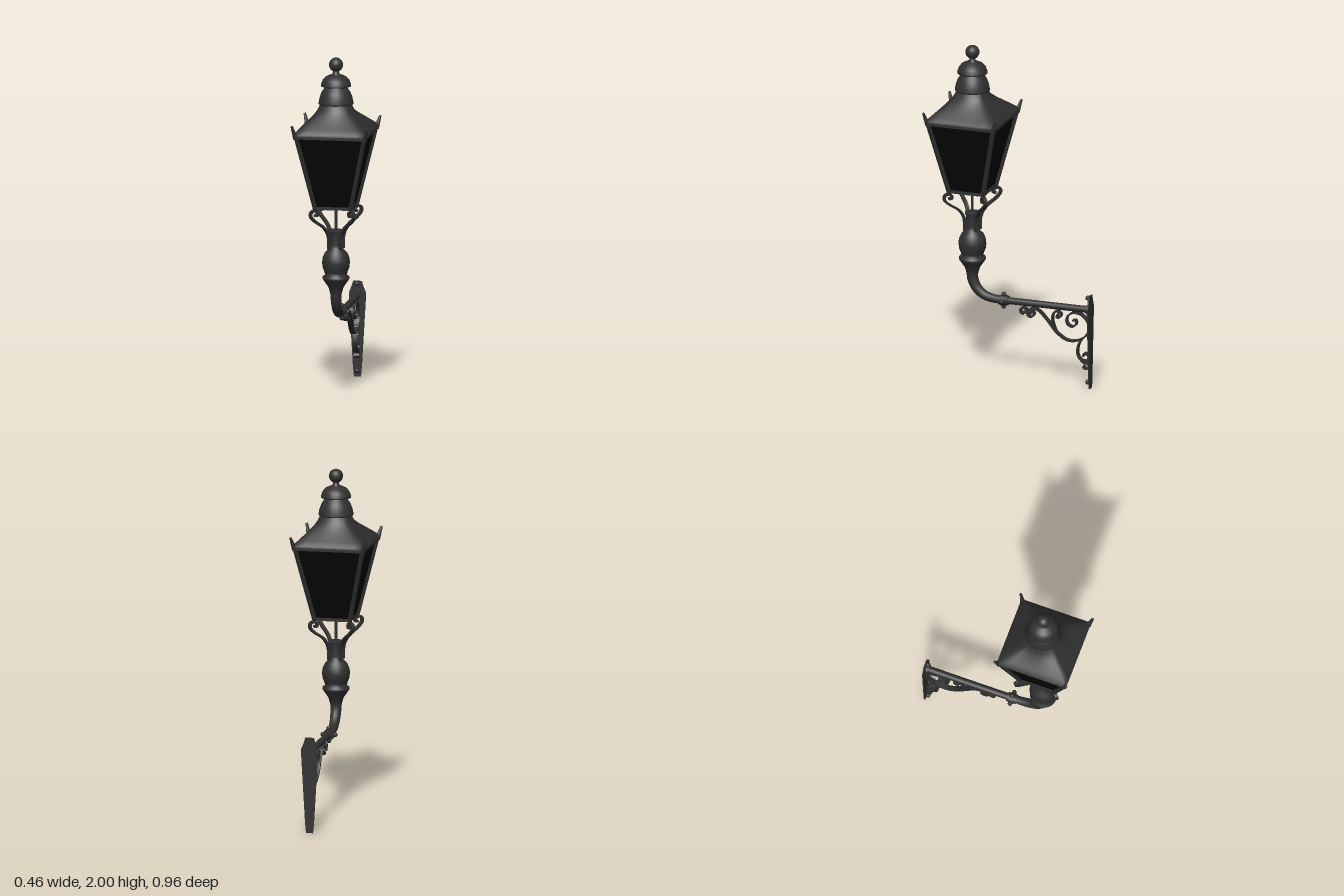
import * as THREE from 'three';

const iron = new THREE.MeshStandardMaterial({ color: 0x303030 });
iron.name = 'dark iron';
const glass = new THREE.MeshStandardMaterial({ color: 0x040404 });
glass.name = 'black glass';
const V = (x, y, z) => new THREE.Vector3(x, y, z);

export function createModel() {
  const root = new THREE.Group();
  root.name = 'wallLantern';
  const lantern = new THREE.Group();
  lantern.name = 'lantern';
  lantern.position.z = 0.248;
  const bracket = new THREE.Group();
  bracket.name = 'wallBracket';
  root.add(lantern, bracket);

  const add = (parent, name, geo, mat = iron) => {
    const m = new THREE.Mesh(geo, mat);
    m.name = name;
    parent.add(m);
    return m;
  };
  const lathe = (parent, name, pts, seg = 24) =>
    add(parent, name, new THREE.LatheGeometry(pts.map(p => new THREE.Vector2(...p)), seg));

  // Flat iron strip following a planar curve, extruded across its width
  const strip = (pts, thick, width, steps) => {
    const curve = new THREE.CatmullRomCurve3(pts.map(([x, y]) => V(x, y, 0)), false, 'centripetal');
    const a = [], b = [];
    for (let i = 0; i <= steps; i++) {
      const p = curve.getPoint(i / steps), t = curve.getTangent(i / steps);
      const nx = -t.y * thick / 2, ny = t.x * thick / 2;
      a.push(new THREE.Vector2(p.x + nx, p.y + ny));
      b.unshift(new THREE.Vector2(p.x - nx, p.y - ny));
    }
    const g = new THREE.ExtrudeGeometry(new THREE.Shape([...a, ...b]), { depth: width, bevelEnabled: false });
    return g.translate(0, 0, -width / 2);
  };

  // Tapered glass body
  const panes = new THREE.CylinderGeometry(0.196 * Math.SQRT2, 0.102 * Math.SQRT2, 0.43, 4, 1)
    .rotateY(Math.PI / 4).toNonIndexed();
  panes.computeVertexNormals();
  add(lantern, 'glassPanes', panes, glass).position.y = 1.35;

  // Frame, ears and scroll supports, one set per corner
  const supportPath = [[0.048, 0.88], [0.054, 0.96], [0.085, 1.01], [0.15, 1.055], [0.178, 1.085],
    [0.176, 1.108], [0.156, 1.117], [0.134, 1.107], [0.133, 1.09], [0.15, 1.088]];
  for (let i = 0; i < 4; i++) {
    const side = new THREE.Group();
    side.name = 'lanternCorner' + (i + 1);
    side.rotation.y = i * Math.PI / 2;
    lantern.add(side);
    // corner post leaning out along the diagonal
    const lo = V(0.103, 1.125, 0.103), hi = V(0.202, 1.575, 0.202);
    const post = add(side, 'cornerPost',
      new THREE.CylinderGeometry(0.016, 0.016, lo.distanceTo(hi), 4).rotateY(Math.PI / 4));
    post.position.copy(lo).add(hi).multiplyScalar(0.5);
    post.quaternion.setFromUnitVectors(V(0, 1, 0), hi.clone().sub(lo).normalize());
    // rails and floor bar
    add(side, 'bottomRail', new THREE.BoxGeometry(0.216, 0.018, 0.014)).position.set(0, 1.132, 0.101);
    add(side, 'topRail', new THREE.BoxGeometry(0.408, 0.024, 0.016)).position.set(0, 1.563, 0.2);
    const floorBar = add(side, 'floorBar', new THREE.BoxGeometry(0.14, 0.012, 0.014));
    floorBar.position.set(0.05, 1.13, 0.05);
    floorBar.rotation.y = -Math.PI / 4;
    // pointed ear
    const ear = add(side, 'cornerEar', new THREE.CylinderGeometry(0.007, 0.016, 0.08, 8));
    ear.position.set(0.211, 1.592, 0.211);
    ear.quaternion.setFromUnitVectors(V(0, 1, 0), V(0.28, 1, 0.28).normalize());
    const support = add(side, 'scrollSupport', strip(supportPath, 0.014, 0.02, 48));
    support.rotation.y = -Math.PI / 4;
  }

  // Concave roof, square at the eaves and round at the neck
  const rings = [[1.568, 0.214, 0], [1.58, 0.212, 0], [1.605, 0.186, 0.04], [1.635, 0.156, 0.18],
    [1.665, 0.128, 0.45], [1.695, 0.106, 0.8], [1.735, 0.088, 1]];
  const N = 40, pos = [], idx = [];
  rings.forEach(([y, r, round], k) => {
    for (let j = 0; j < N; j++) {
      const a = j / N * Math.PI * 2, s = Math.sin(a), c = Math.cos(a);
      const f = r * (round + (1 - round) / Math.max(Math.abs(s), Math.abs(c)));
      pos.push(s * f, y, c * f);
      if (k) {
        const n = (j + 1) % N, p = (k - 1) * N, q = k * N;
        idx.push(p + j, p + n, q + n, p + j, q + n, q + j);
      }
    }
  });
  const roof = new THREE.BufferGeometry();
  roof.setAttribute('position', new THREE.Float32BufferAttribute(pos, 3));
  roof.setIndex(idx);
  roof.computeVertexNormals();
  add(lantern, 'roof', roof);
  add(lantern, 'eavesPlate', new THREE.BoxGeometry(0.424, 0.006, 0.424)).position.y = 1.568;

  // Vent caps and ball finial
  lathe(lantern, 'lowerVentCap', [[0, 1.73], [0.101, 1.73], [0.101, 1.738], [0.096, 1.765], [0.085, 1.795],
    [0.069, 1.82], [0.058, 1.828], [0.054, 1.845]]);
  lathe(lantern, 'upperVentCap', [[0, 1.834], [0.088, 1.834], [0.087, 1.843], [0.078, 1.868], [0.062, 1.887],
    [0.035, 1.9], [0.02, 1.905], [0.016, 1.93]]);
  add(lantern, 'ballFinial', new THREE.SphereGeometry(0.041, 20, 14)).position.y = 1.959;

  // Turned stem under the lantern
  add(lantern, 'centreRod', new THREE.CylinderGeometry(0.008, 0.008, 0.16, 10)).position.y = 1.06;
  lathe(lantern, 'turnedStem', [[0.03, 0.59], [0.034, 0.62], [0.044, 0.655], [0.068, 0.69], [0.079, 0.706],
    [0.078, 0.716], [0.063, 0.728], [0.067, 0.745], [0.077, 0.77], [0.081, 0.8], [0.077, 0.83], [0.064, 0.858],
    [0.045, 0.876], [0.043, 0.89], [0.036, 0.9], [0.037, 0.97], [0.043, 0.978], [0.043, 0.99], [0, 0.99]]);

  // Tapering elbow
  const path = new THREE.CatmullRomCurve3([V(0, 0.63, 0.248), V(0, 0.585, 0.245), V(0, 0.535, 0.222),
    V(0, 0.496, 0.178), V(0, 0.479, 0.12), V(0, 0.475, 0.05)]);
  const elbow = new THREE.TubeGeometry(path, 28, 1, 16);
  const ep = elbow.attributes.position;
  for (let i = 0; i < ep.count; i++) {
    const t = Math.floor(i / 17) / 28, c = path.getPointAt(t);
    const p = V().fromBufferAttribute(ep, i).sub(c).multiplyScalar(0.034 - 0.012 * t).add(c);
    ep.setXYZ(i, p.x, p.y, p.z);
  }
  add(bracket, 'elbow', elbow);

  // Horizontal arm and bolted collar
  const rod = (name, r, len, z) => {
    const m = add(bracket, name, new THREE.CylinderGeometry(r, r, len, 20).rotateX(Math.PI / 2));
    m.position.set(0, 0.475, z);
  };
  rod('arm', 0.02, 0.53, -0.21);
  rod('collar', 0.028, 0.058, 0.055);
  rod('collarFlange', 0.034, 0.026, 0.055);
  rod('wallSocket', 0.027, 0.02, -0.464);
  for (let i = 0; i < 4; i++) {
    const a = i * Math.PI / 2;
    const bolt = add(bracket, 'collarBolt', new THREE.SphereGeometry(0.014, 10, 8));
    bolt.position.set(Math.sin(a) * 0.037, 0.475 + Math.cos(a) * 0.037, 0.055);
  }

  // Tapered wall plate with bolts
  const plate = new THREE.Shape([[-0.02, 0], [0.02, 0], [0.026, 0.06], [0.048, 0.44], [0.05, 0.49],
    [0.034, 0.53], [0.025, 0.56], [-0.025, 0.56], [-0.034, 0.53], [-0.05, 0.49], [-0.048, 0.44],
    [-0.026, 0.06]].map(p => new THREE.Vector2(...p)));
  add(bracket, 'wallPlate', new THREE.ExtrudeGeometry(plate, { depth: 0.008, bevelEnabled: false }))
    .position.z = -0.48;
  for (const y of [0.035, 0.545]) {
    const bolt = add(bracket, 'wallBolt', new THREE.SphereGeometry(0.015, 12, 8));
    bolt.position.set(0, y, -0.462);
  }

  // Scrollwork below the arm, as (z, y) paths
  const scrolls = [
    [[-0.065, 0.415], [-0.085, 0.42], [-0.083, 0.438], [-0.063, 0.445], [-0.048, 0.432], [-0.055, 0.412],
      [-0.07, 0.408]],
    [[-0.11, 0.41], [-0.105, 0.425], [-0.122, 0.429], [-0.132, 0.413], [-0.118, 0.395], [-0.097, 0.4],
      [-0.093, 0.425], [-0.12, 0.446], [-0.16, 0.438], [-0.215, 0.385], [-0.27, 0.32], [-0.33, 0.28],
      [-0.385, 0.278], [-0.44, 0.305], [-0.468, 0.35], [-0.462, 0.4], [-0.425, 0.44], [-0.375, 0.447],
      [-0.337, 0.42], [-0.336, 0.38], [-0.365, 0.362], [-0.39, 0.378], [-0.388, 0.402], [-0.37, 0.402]],
    [[-0.275, 0.425], [-0.272, 0.41], [-0.29, 0.41], [-0.298, 0.43], [-0.276, 0.445], [-0.252, 0.432],
      [-0.247, 0.38], [-0.265, 0.325]],
    [[-0.43, 0.3], [-0.405, 0.255], [-0.4, 0.205], [-0.418, 0.17], [-0.45, 0.163], [-0.468, 0.185],
      [-0.458, 0.207], [-0.438, 0.205], [-0.437, 0.19]],
    [[-0.418, 0.17], [-0.44, 0.152], [-0.462, 0.15], [-0.47, 0.13], [-0.455, 0.116], [-0.437, 0.125],
      [-0.443, 0.138]],
  ];
  for (const pts of scrolls) {
    const s = add(bracket, 'scrollwork', strip(pts, 0.01, 0.03, pts.length * 6));
    s.rotation.y = -Math.PI / 2;
  }
  return root;
}
